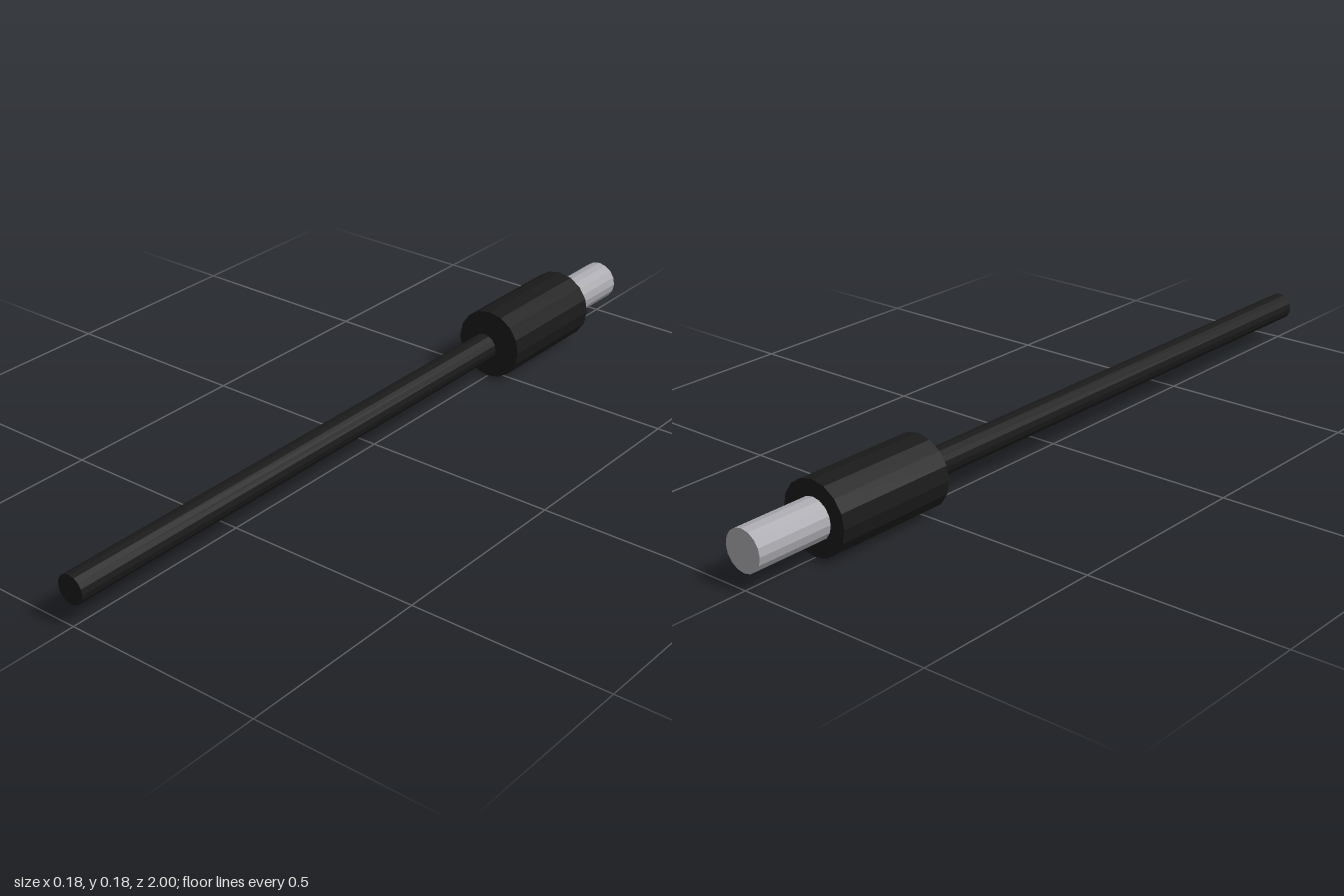
import * as THREE from 'three';

const AXIS_Y = 0.091; // height of the common axis

// Closed 16-sided rod lying along z between two ends
function rod(name, radius, zBack, zFront, material) {
  const geometry = new THREE.CylinderGeometry(radius, radius, zFront - zBack, 16);
  geometry.rotateX(Math.PI / 2);
  const mesh = new THREE.Mesh(geometry, material);
  mesh.name = name;
  mesh.position.set(0, AXIS_Y, (zBack + zFront) / 2);
  return mesh;
}

export function createModel() {
  const black = new THREE.MeshStandardMaterial({ color: 0x1a1a1a, flatShading: true });
  const metal = new THREE.MeshStandardMaterial({ color: 0xaaaab0, flatShading: true });

  const model = new THREE.Group();
  model.name = 'cableConnector';
  model.add(
    rod('cable', 0.036, -0.455, 1, black), // stops just short of the housing
    rod('housing', 0.091, -0.8, -0.475, black),
    rod('plugTip', 0.051, -1, -0.8, metal)
  );
  return model;
}
